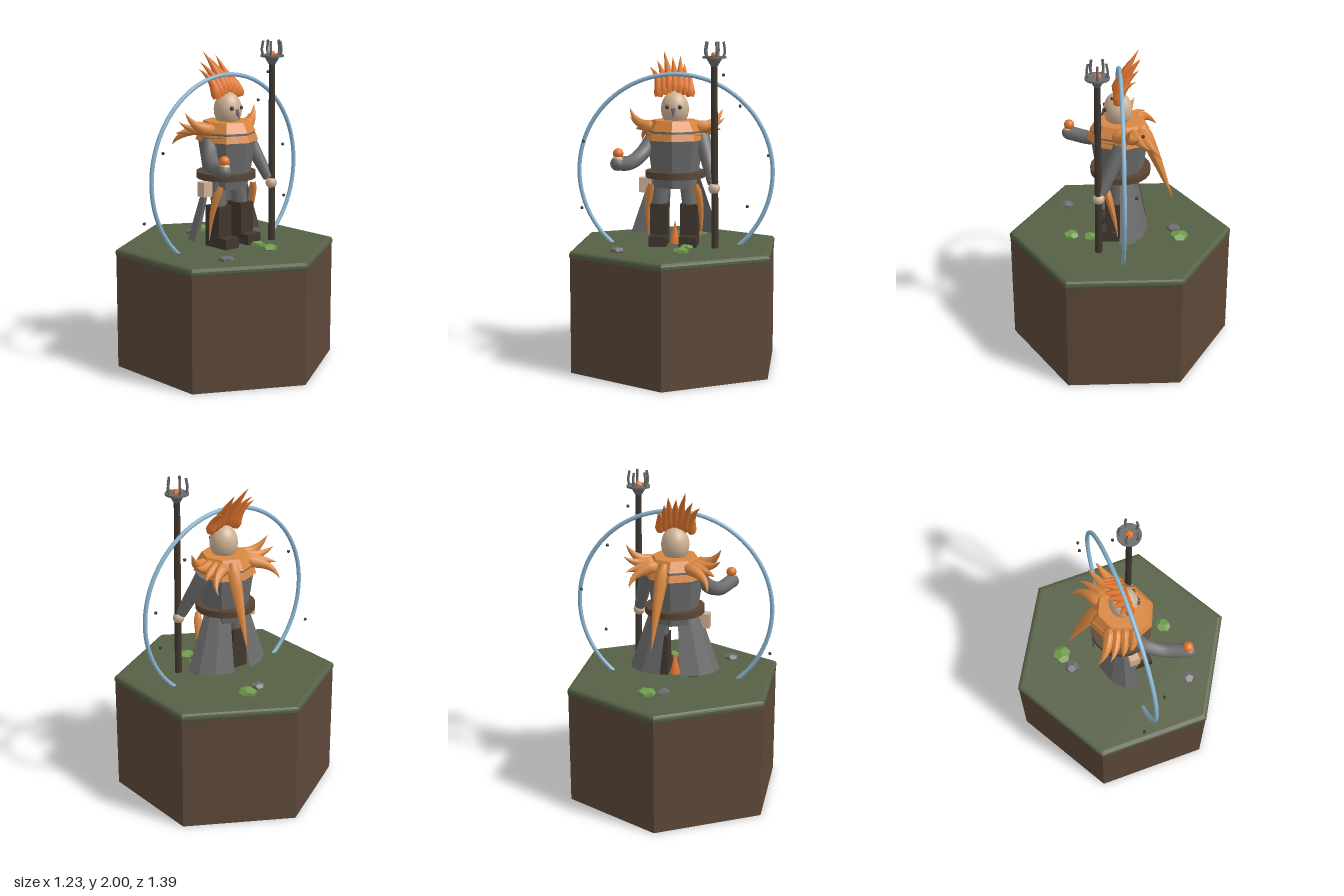
import * as THREE from 'three';

const paint = (name, color, side = THREE.FrontSide) => {
  const m = new THREE.MeshStandardMaterial({ color, side });
  m.name = name;
  return m;
};
const V = (p) => new THREE.Vector3(...p);

export function createModel() {
  const root = new THREE.Group();
  const soil = paint('soil', 0x5c4838);
  const grass = paint('grass', 0x566045);
  const cloth = paint('greyCloth', 0x6c6c6c, THREE.DoubleSide);
  const dark = paint('darkWood', 0x40372e);
  const leather = paint('leather', 0x5a4534);
  const skin = paint('skin', 0xd0b296);
  const orange = paint('brightFeather', 0xe2762f);
  const amber = paint('amberFeather', 0xd98740);
  const blue = paint('paleBlue', 0x8bb6d2);
  const leaf = paint('leaf', 0x6f9a4c);

  const add = (name, geo, mat, pos = [0, 0, 0], scale = [1, 1, 1], parent = root) => {
    const m = new THREE.Mesh(geo, mat);
    m.name = name;
    m.position.set(...pos);
    m.scale.set(...scale);
    parent.add(m);
    return m;
  };
  const flat = (geo) => {
    const g = geo.index ? geo.toNonIndexed() : geo;
    g.computeVertexNormals();
    return g;
  };
  const prism = (top, bottom, h, sides, ...rest) =>
    flat(new THREE.CylinderGeometry(top, bottom, h, sides, 1, ...rest));

  // Curved spike: a tube whose rings shrink towards the tip
  const feather = (name, mat, a, b, c, r, flatten = 1) => {
    const curve = new THREE.QuadraticBezierCurve3(V(a), V(b), V(c));
    const steps = 8, sides = 8;
    const geo = new THREE.TubeGeometry(curve, steps, r, sides);
    const p = geo.attributes.position, v = new THREE.Vector3();
    for (let i = 0; i < p.count; i++) {
      const ring = Math.floor(i / (sides + 1)), t = ring / steps;
      const centre = curve.getPointAt(t);
      v.fromBufferAttribute(p, i).sub(centre).multiplyScalar(ring === 0 ? 0.6 : 1 - t ** 1.4);
      v.z *= flatten;
      v.add(centre);
      p.setXYZ(i, v.x, v.y, v.z);
    }
    geo.computeVertexNormals();
    add(name, geo, mat);
  };
  // Cylinder between two points
  const rod = (name, mat, a, b, ra, rb, sides = 10) => {
    const d = V(b).sub(V(a));
    const m = add(name, new THREE.CylinderGeometry(rb, ra, d.length(), sides), mat);
    m.position.copy(V(a).addScaledVector(d, 0.5));
    m.quaternion.setFromUnitVectors(new THREE.Vector3(0, 1, 0), d.normalize());
  };

  // Hexagonal ground block with a rounded turf cap
  add('groundBlock', prism(0.69, 0.69, 0.71, 6), soil, [0, 0.355, 0]);
  const hex = new THREE.Shape();
  for (let i = 0; i < 6; i++) {
    const a = (i * Math.PI) / 3;
    hex[i ? 'lineTo' : 'moveTo'](0.663 * Math.sin(a), 0.663 * Math.cos(a));
  }
  const turf = new THREE.ExtrudeGeometry(hex, {
    depth: 0.015, bevelThickness: 0.02, bevelSize: 0.027, bevelSegments: 3,
  });
  turf.rotateX(-Math.PI / 2);
  add('turf', turf, grass, [0, 0.72, 0]);

  // Stones and shrubs
  [[0.11, -0.36, 0.06, leaf], [0.01, -0.33, 0.045, cloth], [0.09, 0.19, 0.043, leaf],
    [0.07, 0.31, 0.05, leaf], [-0.31, 0.33, 0.047, cloth]].forEach(([x, z, r, mat], i) => {
    const m = add(mat === leaf ? 'shrub' : 'stone', new THREE.DodecahedronGeometry(r), mat,
      [x, 0.762, z], [1, 0.5, 1]);
    m.rotation.y = i * 1.3;
  });

  // Hoop rising out of the ground
  const hoop = new THREE.TorusGeometry(0.6, 0.013, 10, 72, Math.PI * 1.56);
  hoop.rotateZ(-Math.PI * 0.28);
  add('hoop', hoop, blue, [0, 1.2, 0]);

  // Floating specks
  [[-0.56, 1.39, 0.06], [-0.6, 0.955, -0.07], [0.3, 1.8, 0.06], [0.39, 1.6, -0.115],
    [0.45, 1.0, 0.06], [0.57, 1.3, -0.07]].forEach((p) =>
    add('speck', new THREE.IcosahedronGeometry(0.011), dark, p));

  // Legs, skirts and shoulder plumes, mirrored
  for (const s of [-1, 1]) {
    add('boot', new THREE.BoxGeometry(0.107, 0.255, 0.12), dark, [s * 0.093, 0.882, 0.03]);
    add('bootToe', new THREE.BoxGeometry(0.107, 0.065, 0.08), dark, [s * 0.093, 0.787, 0.115]);
    rod('trouserLeg', cloth, [s * 0.093, 1.0, 0.03], [s * 0.075, 1.19, 0.01], 0.045, 0.055, 8);
    const start = s > 0 ? 85 : 193;
    add('coatSkirt', prism(0.15, 0.28, 0.38, 3, true, THREE.MathUtils.degToRad(start),
      THREE.MathUtils.degToRad(82)), cloth, [0, 0.995, 0], [1, 1, 0.62]);
    feather('beltFeather', amber, [s * 0.135, 1.14, 0.1], [s * 0.18, 1.0, 0.05],
      [s * 0.16, 0.78, 0.02], 0.026);

    // Fan of plumes, front one rising, rear one drooping
    [[0.29, 1.59, -0.05, 0.03], [0.295, 1.53, -0.1, -0.02], [0.27, 1.45, -0.165, -0.06],
      [0.235, 1.37, -0.235, -0.1]].forEach(([x, y, z, z0], i) =>
      feather('shoulderPlume', amber, [s * (0.13 - i * 0.015), 1.48, z0],
        [s * 0.24, 1.47 - i * 0.005, (z + z0) / 2], [s * x, y, z], 0.042));
    add('eye', new THREE.SphereGeometry(0.013, 10, 8), dark, [s * 0.038, 1.605, 0.09]);
  }
  feather('tailPlume', amber, [0.045, 1.5, -0.12], [0.06, 1.36, -0.19], [0.085, 1.01, -0.32], 0.045);
  add('groundFlame', new THREE.ConeGeometry(0.036, 0.15, 6), orange, [0, 0.825, 0.01]);

  // Torso, belt, pouch
  add('torso', prism(0.18, 0.14, 0.27, 8), cloth, [0, 1.3, 0.005]);
  add('hips', prism(0.14, 0.13, 0.07, 8), cloth, [0, 1.145, 0]);
  add('belt', new THREE.CylinderGeometry(0.184, 0.184, 0.04, 20), leather, [0, 1.19, 0]);
  add('pouch', new THREE.BoxGeometry(0.07, 0.09, 0.06), skin, [-0.185, 1.12, 0.01]);

  // Layered mantle
  add('mantleLower', prism(0.183, 0.197, 0.042, 8), amber, [0, 1.425, 0.005], [0.95, 1, 1]);
  add('mantleTrim', prism(0.176, 0.178, 0.02, 8), cloth, [0, 1.452, 0.005], [0.95, 1, 1]);
  add('mantleUpper', prism(0.145, 0.182, 0.062, 8), amber, [0, 1.491, 0.005], [0.95, 1, 1]);

  // Head and beak
  add('head', new THREE.SphereGeometry(0.086, 24, 18), skin, [0, 1.59, 0.015], [1, 1.25, 1]);
  const beak = add('beak', new THREE.ConeGeometry(0.018, 0.06, 6), cloth, [0, 1.565, 0.105]);
  beak.rotation.x = Math.PI * 0.83;

  // Swept-back crest
  [[-0.1, -0.165, 1.84, -0.07], [-0.066, -0.125, 1.88, -0.1], [-0.033, -0.085, 1.94, -0.115],
    [0, -0.03, 1.9, -0.12], [0.033, 0.02, 1.91, -0.115], [0.066, 0.045, 1.86, -0.11],
    [0.096, 0.085, 1.8, -0.09]].forEach(([x, tx, y, z]) =>
    feather('crestFeather', orange, [x, 1.695 - Math.abs(x) * 0.35, 0.025],
      [x * 0.85, 1.78, -0.005], [tx, y, z], 0.034));

  // Bent arm holding up an orb
  const armPath = new THREE.CatmullRomCurve3([[-0.14, 1.41, 0.0], [-0.195, 1.32, 0.07],
    [-0.25, 1.275, 0.17], [-0.31, 1.285, 0.315]].map(V));
  add('bentArm', new THREE.TubeGeometry(armPath, 16, 0.044, 12), cloth);
  add('cuff', new THREE.SphereGeometry(0.043, 12, 8), cloth, [-0.31, 1.283, 0.312]);
  add('raisedHand', new THREE.SphereGeometry(0.032, 14, 10), skin, [-0.306, 1.305, 0.312]);
  add('orb', new THREE.SphereGeometry(0.032, 16, 12), orange, [-0.305, 1.343, 0.308]);

  // Straight arm gripping the staff
  rod('straightArm', cloth, [0.165, 1.42, 0.0], [0.245, 1.15, 0.125], 0.05, 0.034);
  add('grippingHand', new THREE.SphereGeometry(0.036, 14, 10), skin, [0.253, 1.12, 0.14]);

  // Staff with a pronged cup
  const sx = 0.251, sz = 0.142;
  rod('staff', dark, [0.26, 0.755, sz], [sx, 1.87, sz], 0.022, 0.019, 8);
  add('staffCup', new THREE.CylinderGeometry(0.05, 0.02, 0.05, 12), cloth, [sx, 1.88, sz]);
  add('staffDisc', new THREE.CylinderGeometry(0.072, 0.072, 0.012, 20), cloth, [sx, 1.908, sz]);
  add('staffGem', new THREE.IcosahedronGeometry(0.026), orange, [sx, 1.915, sz]);
  for (let i = 0; i < 5; i++) {
    const a = (i / 5) * Math.PI * 2 + Math.PI / 2;
    const at = (r, y) => V([sx + r * Math.sin(a), y, sz + r * Math.cos(a)]);
    const path = new THREE.CatmullRomCurve3([at(0.05, 1.9), at(0.063, 1.94), at(0.055, 2.0)]);
    add('prong', new THREE.TubeGeometry(path, 6, 0.008, 6), cloth);
  }
  return root;
}
